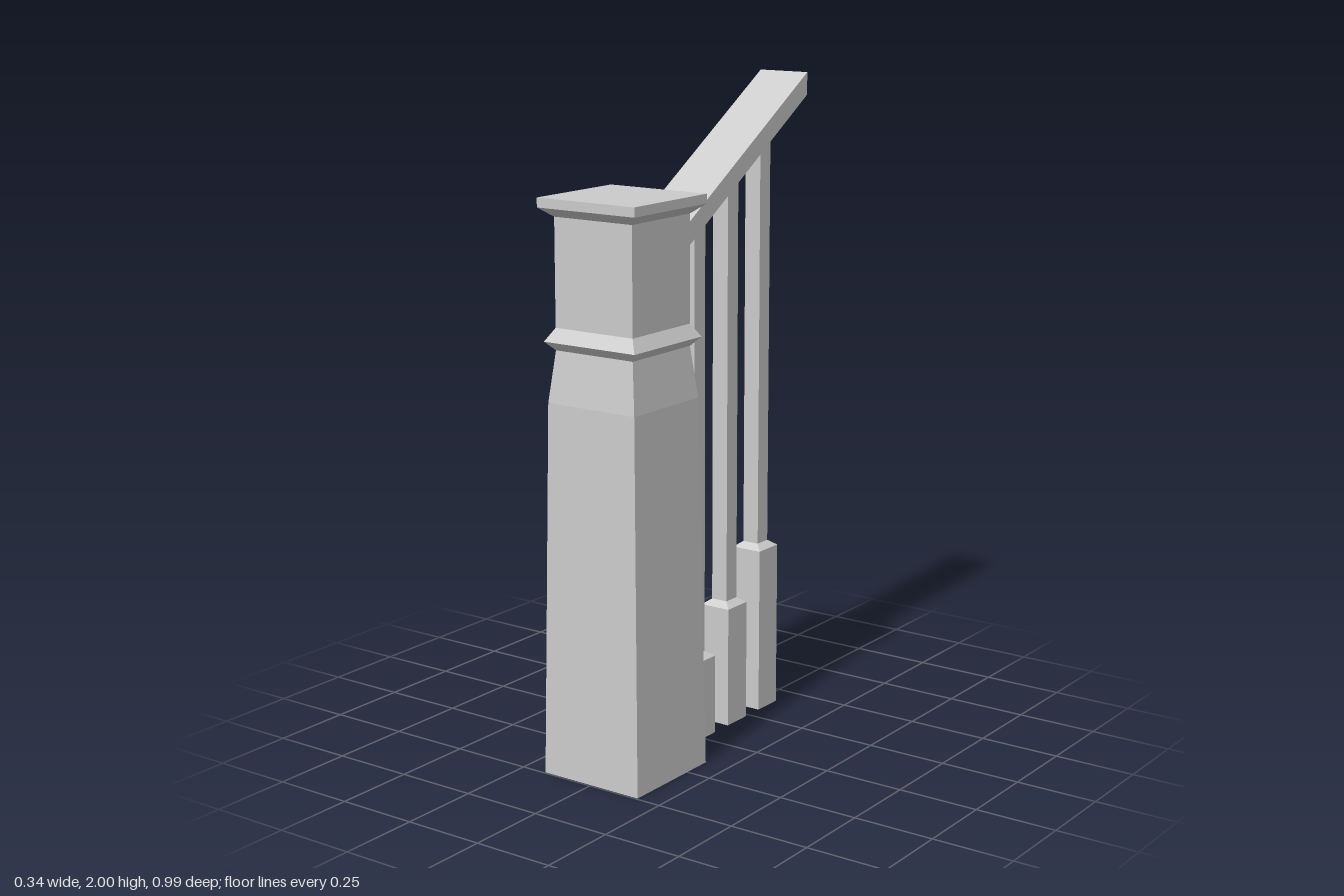
import * as THREE from 'three';

const material = new THREE.MeshStandardMaterial({ color: 0xcccccc, flatShading: true });

// Square column from [half width, height] pairs, closed at both ends.
function squareColumn(name, profile, z, adjust) {
  const points = [[0, profile[0][1]], ...profile, [0, profile.at(-1)[1]]]
    .map(([half, y]) => new THREE.Vector2(half * Math.SQRT2, y));
  const indexed = new THREE.LatheGeometry(points, 4, Math.PI / 4);
  if (adjust) adjust(indexed.attributes.position);
  const geometry = indexed.toNonIndexed();
  geometry.computeVertexNormals();
  const mesh = new THREE.Mesh(geometry, material);
  mesh.name = name;
  mesh.position.z = z;
  return mesh;
}

// Handrail line: underside height at a given z
const railStart = 0.19, railEnd = -0.495, railThickness = 0.068;
const slope = 0.625;
const railUnderside = z => 2 - railThickness - slope * (z - railEnd);

function createHandrail() {
  const width = 0.17;
  const low = railUnderside(railStart), high = railUnderside(railEnd);
  // Side outline in (-z, y), extruded across the width
  const outline = new THREE.Shape([
    new THREE.Vector2(-railStart, low),
    new THREE.Vector2(-railEnd, high),
    new THREE.Vector2(-railEnd, high + railThickness),
    new THREE.Vector2(-railStart, low + railThickness),
  ]);
  const geometry = new THREE.ExtrudeGeometry(outline, { depth: width, bevelEnabled: false });
  geometry.translate(0, 0, -width / 2).rotateY(Math.PI / 2);
  const mesh = new THREE.Mesh(geometry, material);
  mesh.name = 'handrail';
  return mesh;
}

// Square block with a chamfered shoulder and a slim shaft cut to the rail slope
function createBaluster(z, blockHeight) {
  const base = 0.05, shaft = 0.027;
  const top = railUnderside(z) + 0.005;
  return squareColumn('baluster', [
    [base, 0], [base, blockHeight], [shaft, blockHeight + 0.017], [shaft, top],
  ], z, position => {
    for (let i = 0; i < position.count; i++) {
      if (position.getY(i) > top - 0.001) position.setY(i, top - slope * position.getZ(i));
    }
  });
}

export function createModel() {
  const model = new THREE.Group();
  model.name = 'stairRailing';

  // Tapered newel post with collar and cap
  model.add(squareColumn('newelPost', [
    [0.17, 0], [0.153, 1.12], [0.136, 1.272], [0.16, 1.298], [0.136, 1.337],
    [0.136, 1.653], [0.17, 1.68], [0.17, 1.708],
  ], 0.325));

  model.add(createHandrail());

  // Balusters step up with the stairs
  [0.25, 0.378, 0.523].forEach((height, i) => {
    model.add(createBaluster(-0.014 - i * 0.171, height));
  });
  return model;
}
